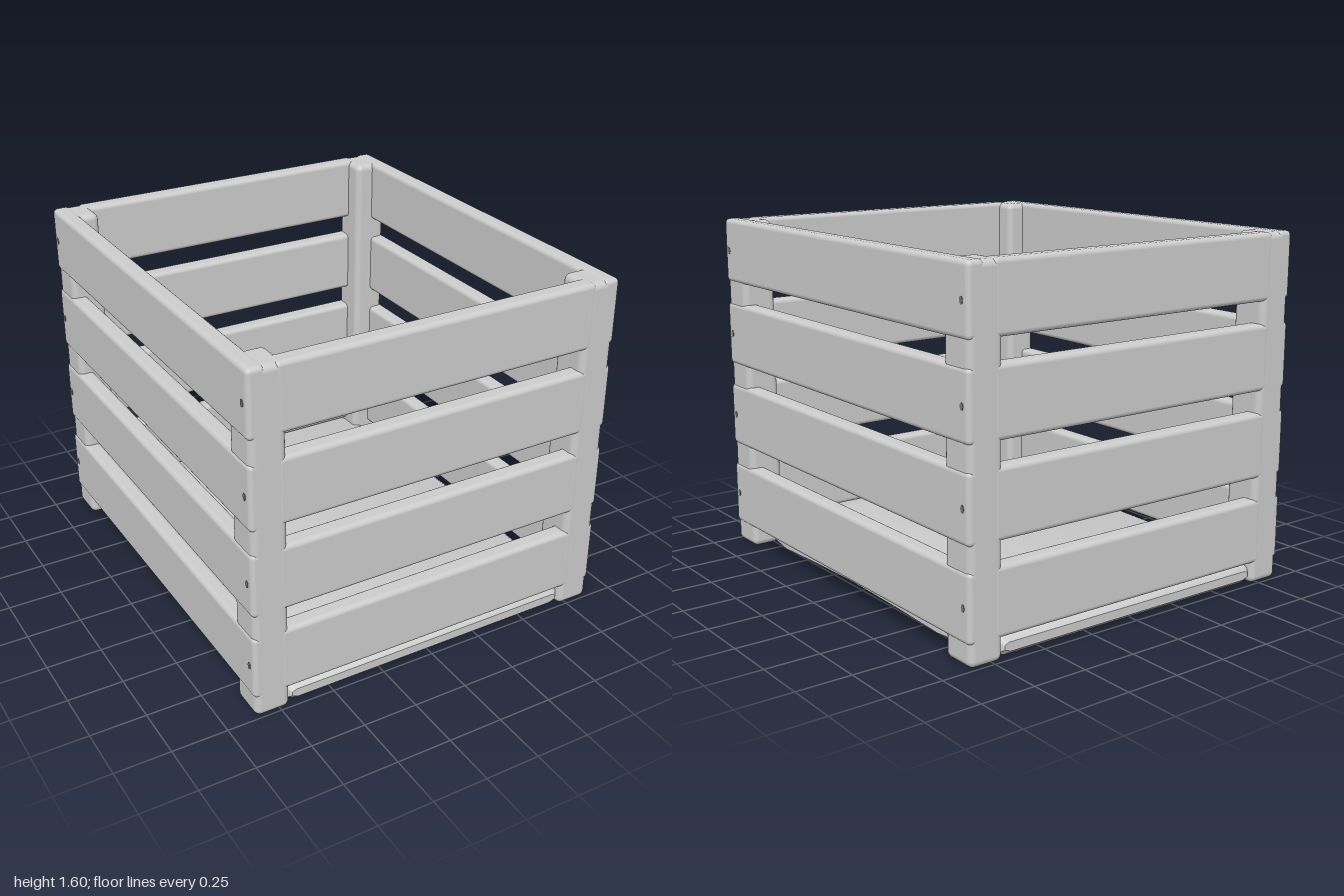
import * as THREE from 'three';
import { toCreasedNormals } from 'three/addons/utils/BufferGeometryUtils.js';
import { RoundedBoxGeometry } from 'three/addons/geometries/RoundedBoxGeometry.js';

const wood = new THREE.MeshStandardMaterial({ color: 0xcccccc });
wood.name = 'pale grey wood';
const nailMetal = new THREE.MeshStandardMaterial({ color: 0x777777 });
nailMetal.name = 'dark grey nail';

function add(parent, name, geometry, material, x, y, z) {
  const mesh = new THREE.Mesh(geometry, material);
  mesh.name = name;
  mesh.position.set(x, y, z);
  parent.add(mesh);
  return mesh;
}

// Floor board: rounded cross-sections along z, bowed outward and lifted at mid-side
function floorGeometry() {
  // z, half width, flat underside half width, side lower edge, end inset in y
  const half = [
    [0.985, 0.69, 0.66, 0.035, 0.02],
    [0.96, 0.71, 0.68, 0.025, 0],
    [0.84, 0.75, 0.71, 0.02, 0],
    [0.65, 0.785, 0.72, 0.025, 0],
    [0.35, 0.79, 0.69, 0.04, 0],
  ];
  const stations = [
    ...half.map(([z, ...rest]) => [-z, ...rest]),
    [0, 0.8, 0.64, 0.055, 0],
    ...half.slice().reverse(),
  ];
  const positions = [];
  const index = [];
  let n = 0;
  for (const [z, w, flat, edge, inset] of stations) {
    const right = [
      [flat, 0.01 + inset], [w, edge + inset * 0.3],
      [w, 0.075 - inset * 0.7], [w - 0.02, 0.09 - inset],
    ];
    const ring = [...right, ...right.slice().reverse().map(([x, y]) => [-x, y])];
    n = ring.length;
    for (const [x, y] of ring) positions.push(x, y, z);
  }
  const last = (stations.length - 1) * n;
  for (let s = 0; s < last; s += n) {
    for (let j = 0; j < n; j++) {
      const k = (j + 1) % n;
      index.push(s + j, s + k, s + n + k, s + j, s + n + k, s + n + j);
    }
  }
  for (let j = 1; j < n - 1; j++) {
    index.push(0, j + 1, j, last, last + j, last + j + 1);
  }
  const geometry = new THREE.BufferGeometry();
  geometry.setAttribute('position', new THREE.Float32BufferAttribute(positions, 3));
  geometry.setIndex(index);
  return toCreasedNormals(geometry, 0.7);
}

export function createModel() {
  const crate = new THREE.Group();
  crate.name = 'slattedCrate';

  const postGeometry = new RoundedBoxGeometry(0.16, 1.595, 0.175, 4, 0.03);
  const endSlatGeometry = new RoundedBoxGeometry(1.5, 0.3, 0.085, 4, 0.022);
  const sideSlatGeometry = new RoundedBoxGeometry(0.08, 0.3, 1.99, 4, 0.022);
  const nailGeometry = new THREE.CylinderGeometry(0.011, 0.011, 0.006, 10);
  nailGeometry.rotateZ(Math.PI / 2);
  nailGeometry.scale(1, 1.5, 1);

  add(crate, 'floor', floorGeometry(), wood, 0, 0, 0);

  // Corner posts
  for (const sx of [-1, 1]) {
    for (const sz of [-1, 1]) {
      add(crate, 'cornerPost', postGeometry, wood, sx * 0.785, 0.8, sz * 0.9075);
    }
  }

  // Four rows of slats on every wall, nailed at the ends of the side walls
  for (const y of [0.25, 0.65, 1.05, 1.45]) {
    for (const s of [-1, 1]) {
      add(crate, s > 0 ? 'frontSlat' : 'backSlat', endSlatGeometry, wood, 0, y, s * 0.9535);
      add(crate, s > 0 ? 'leftSlat' : 'rightSlat', sideSlatGeometry, wood, s * 0.831, y, 0);
      for (const sz of [-1, 1]) {
        add(crate, 'nailHead', nailGeometry, nailMetal, s * 0.87, y, sz * 0.953);
      }
    }
  }
  return crate;
}
